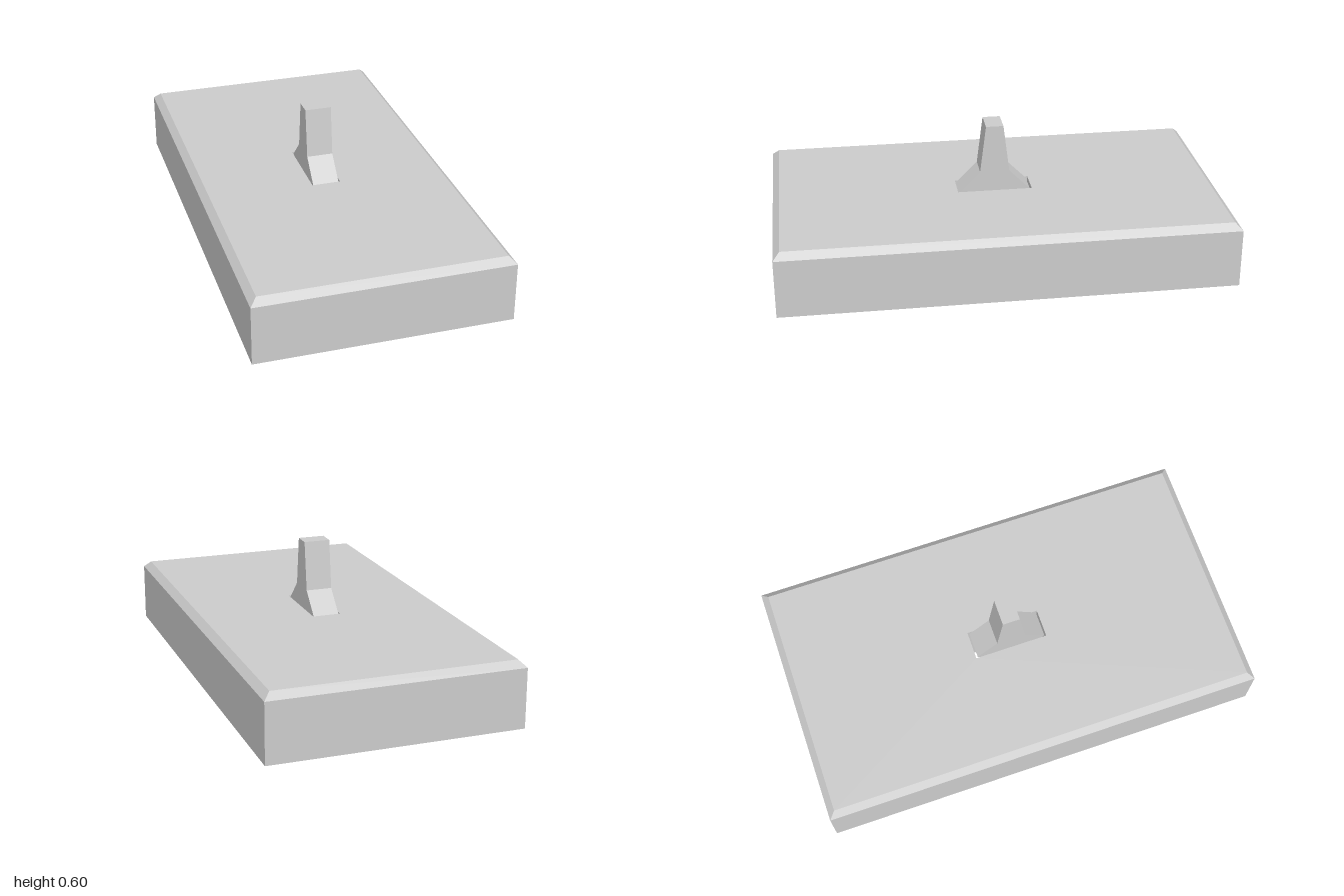
import * as THREE from 'three';

const material = new THREE.MeshStandardMaterial({ color: 0xcccccc, flatShading: true });

// Rectangle outline as a list of points
const rect = (x0, x1, y0, y1) => [[x0, y0], [x1, y0], [x1, y1], [x0, y1]].map(([x, y]) => new THREE.Vector2(x, y));

// Slab with a chamfered top rim and a slot through it
function createPlate() {
  const halfX = 0.558, halfZ = 1, height = 0.294, chamfer = 0.03;
  const shape = new THREE.Shape(rect(-halfX, halfX, -halfZ, halfZ));
  shape.holes.push(new THREE.Path(rect(-0.066, 0.062, -0.174, 0.161).reverse()));
  const geometry = new THREE.ExtrudeGeometry(shape, { depth: height, steps: 2, bevelEnabled: false });
  geometry.rotateX(-Math.PI / 2);

  // Raise the middle ring to the chamfer line and pull the top outer ring inward
  const p = geometry.attributes.position;
  for (let i = 0; i < p.count; i++) {
    const y = p.getY(i);
    if (Math.abs(y - height / 2) < 0.01) p.setY(i, height - chamfer);
    if (y > height - 0.01 && Math.abs(p.getX(i)) > 0.5) {
      p.setX(i, p.getX(i) - Math.sign(p.getX(i)) * chamfer);
      p.setZ(i, p.getZ(i) - Math.sign(p.getZ(i)) * chamfer);
    }
  }
  geometry.computeVertexNormals();
  const plate = new THREE.Mesh(geometry, material);
  plate.name = 'plate';
  return plate;
}

// Toggle lever: tapered handle, flared skirt filling the slot, narrow stem below
function createLever() {
  const width = 0.117, centreZ = 0.007;
  const side = [[0.066, 0.066], [0.066, 0.2], [0.16, 0.29], [0.066, 0.385], [0.039, 0.602]]; // half depth, height
  const outline = [...side, ...side.map(([d, y]) => [-d, y]).reverse()];
  const shape = new THREE.Shape(outline.map(([d, y]) => new THREE.Vector2(d, y)));
  const geometry = new THREE.ExtrudeGeometry(shape, { depth: width, bevelEnabled: false });
  geometry.translate(0, 0, -width / 2);
  geometry.rotateY(-Math.PI / 2);
  geometry.translate(-0.002, 0, centreZ);
  const lever = new THREE.Mesh(geometry, material);
  lever.name = 'lever';
  return lever;
}

export function createModel() {
  const group = new THREE.Group();
  group.name = 'toggleSwitch';
  group.add(createPlate(), createLever());
  return group;
}
